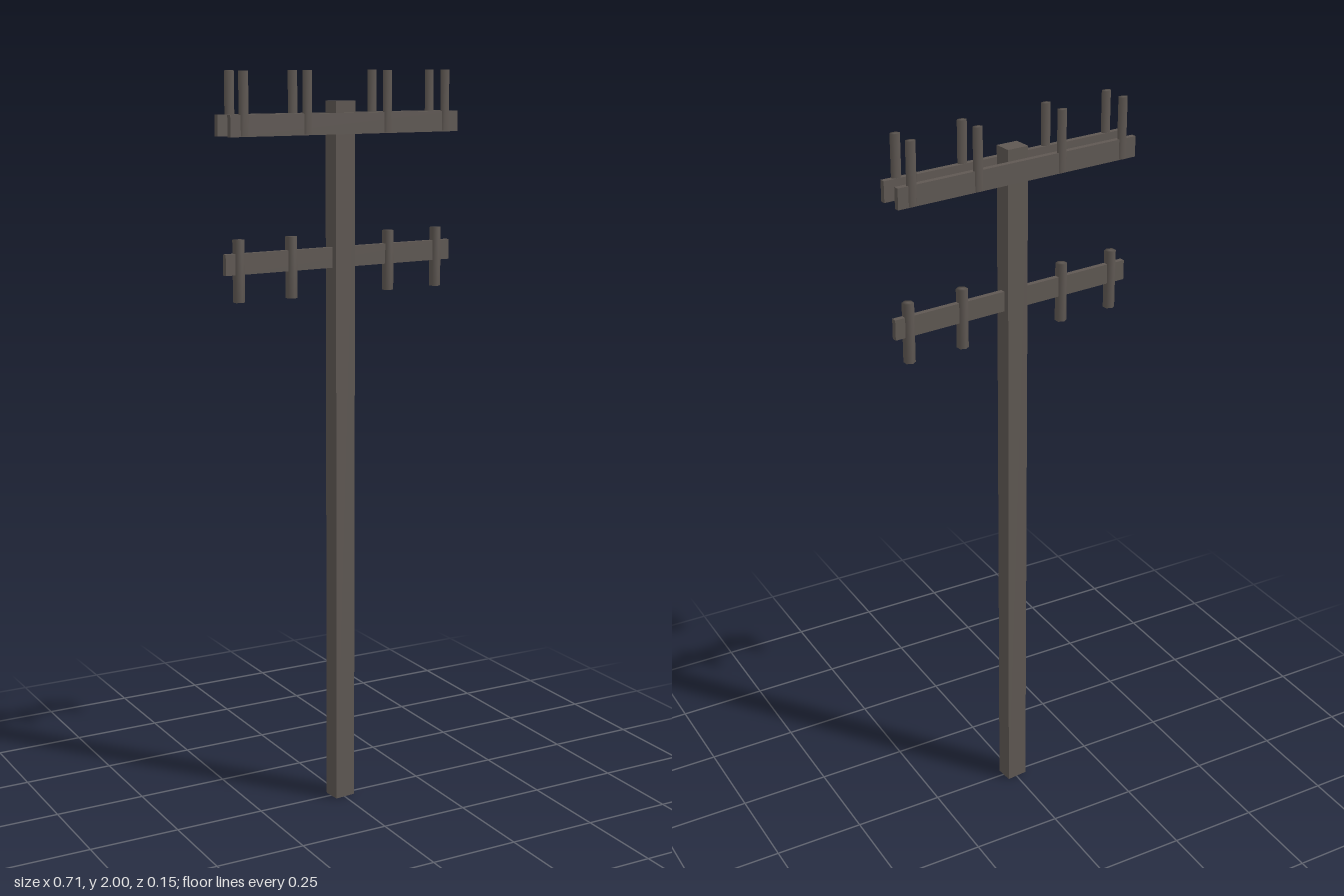
import * as THREE from 'three';
import { mergeVertices } from 'three/addons/utils/BufferGeometryUtils.js';

const wood = new THREE.MeshStandardMaterial({ color: 0x5f5853 });
wood.name = 'weathered wood';

// Hexagonal peg with normals blended over its rims
function pegGeometry(turn, halfX, halfZ) {
  let geo = new THREE.CylinderGeometry(1, 1, 0.16, 6, 1, false, turn);
  geo.deleteAttribute('uv');
  geo.deleteAttribute('normal');
  geo = mergeVertices(geo);
  geo.scale(halfX, 1, halfZ);
  geo.computeVertexNormals();
  return geo;
}

export function createModel() {
  const group = new THREE.Group();
  group.name = 'utilityPole';

  const add = (name, geo, x, y, z) => {
    const mesh = new THREE.Mesh(geo, wood);
    mesh.name = name;
    mesh.position.set(x, y, z);
    group.add(mesh);
  };

  // Square post
  add('post', new THREE.BoxGeometry(0.06, 1.922, 0.049), 0, 0.961, 0);

  // Paired upper crossarms on both faces of the post, single lower crossarm through it
  const arm = new THREE.BoxGeometry(0.71, 0.054, 0.0145);
  for (const side of [-1, 1]) add('upperCrossarm', arm, 0, 1.865, side * 0.0315);
  add('lowerCrossarm', arm, 0, 1.518, 0);

  // Insulator pegs
  const upperPeg = pegGeometry(Math.PI / 6, 0.0145, 0.011);
  const lowerPeg = pegGeometry(0, 0.0155, 0.0155);
  for (const side of [-1, 1]) {
    for (const face of [-1, 1]) {
      for (const x of [0.125, 0.314]) add('upperInsulator', upperPeg, side * x, 1.92, face * 0.0345);
    }
    for (const x of [0.154, 0.313]) add('lowerInsulator', lowerPeg, side * x, 1.5, 0);
  }

  // The whole pole stands slightly turned
  group.rotation.y = THREE.MathUtils.degToRad(5.4);
  const root = new THREE.Group();
  root.name = 'model';
  root.add(group);
  return root;
}
